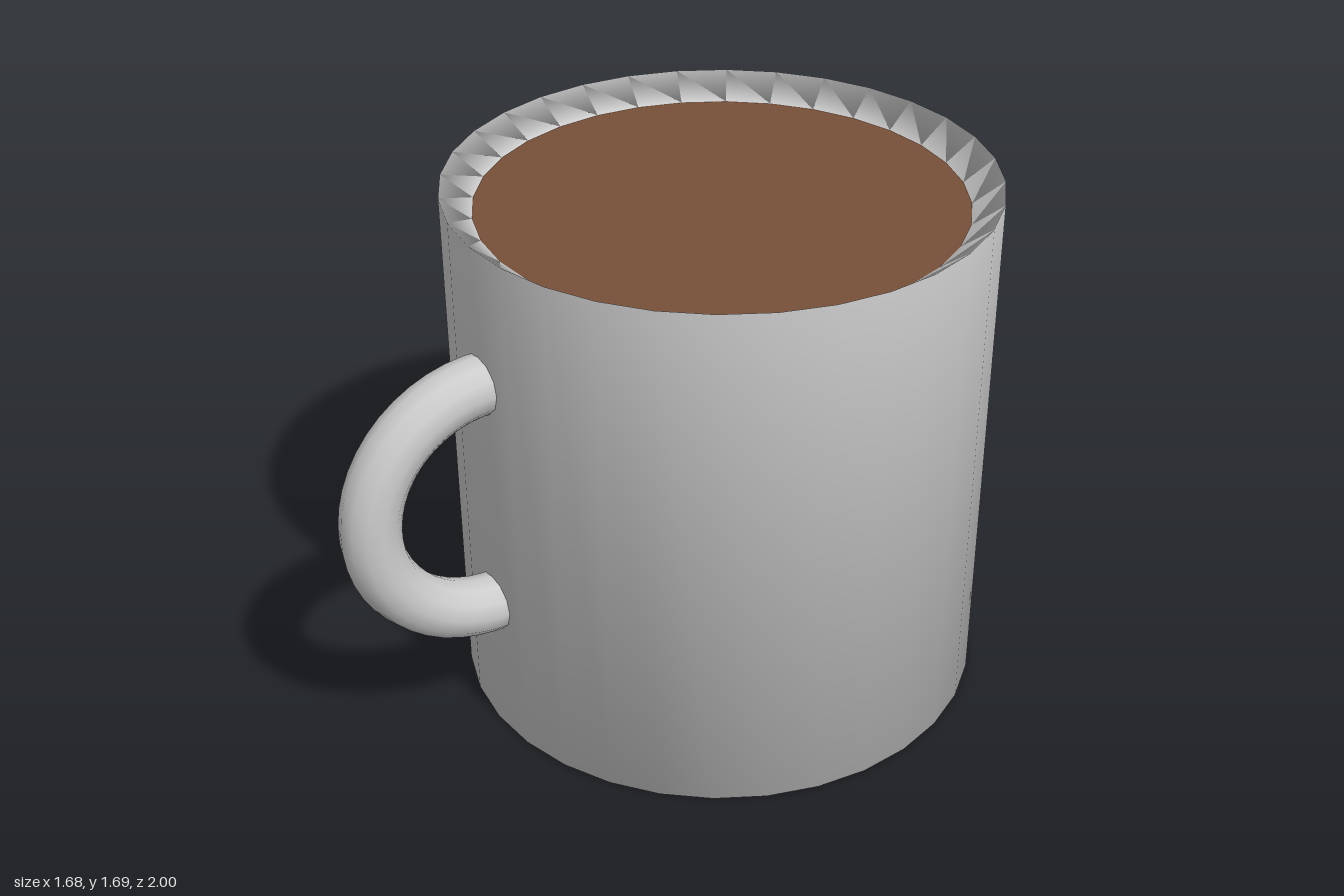
import * as THREE from 'three';

export function createModel() {
  const group = new THREE.Group();
  const ceramic = new THREE.MeshStandardMaterial({ color: 0xcccccc, side: THREE.DoubleSide });
  const brown = new THREE.MeshStandardMaterial({ color: 0x774f39 });

  const SIDES = 32;
  const PHASE = THREE.MathUtils.degToRad(3.75);
  const RADIUS = 0.842, INNER = 0.747, HEIGHT = 1.69, FILL = 1.617;

  // Everything is arranged around the axis of the cup
  const mug = new THREE.Group();
  mug.name = 'mug';
  mug.position.z = -0.16;
  group.add(mug);

  const add = (name, geometry, material) => {
    const mesh = new THREE.Mesh(geometry, material);
    mesh.name = name;
    mug.add(mesh);
    return mesh;
  };

  // Base, straight wall and rim sloping inwards down to the drink
  const profile = [[0, 0], [RADIUS, 0], [RADIUS, HEIGHT], [INNER, FILL]]
    .map(([r, y]) => new THREE.Vector2(r, y));
  add('cup', new THREE.LatheGeometry(profile, SIDES, PHASE), ceramic);

  // Flat surface of the drink, its corners meeting the rim's inner edge
  const drink = new THREE.CircleGeometry(INNER, SIDES, PHASE - Math.PI / 2).rotateX(-Math.PI / 2);
  add('drink', drink, brown).position.y = FILL;

  // Ring handle with its ends sunk into the wall
  const arc = THREE.MathUtils.degToRad(202.5);
  const ring = new THREE.TorusGeometry(0.39, 0.093, 12, 27, arc).rotateZ(-arc / 2).translate(0.832, 0, 0);
  const handle = add('handle', ring, ceramic);
  handle.position.y = 0.858;
  handle.rotation.y = THREE.MathUtils.degToRad(-119.3);

  return group;
}
